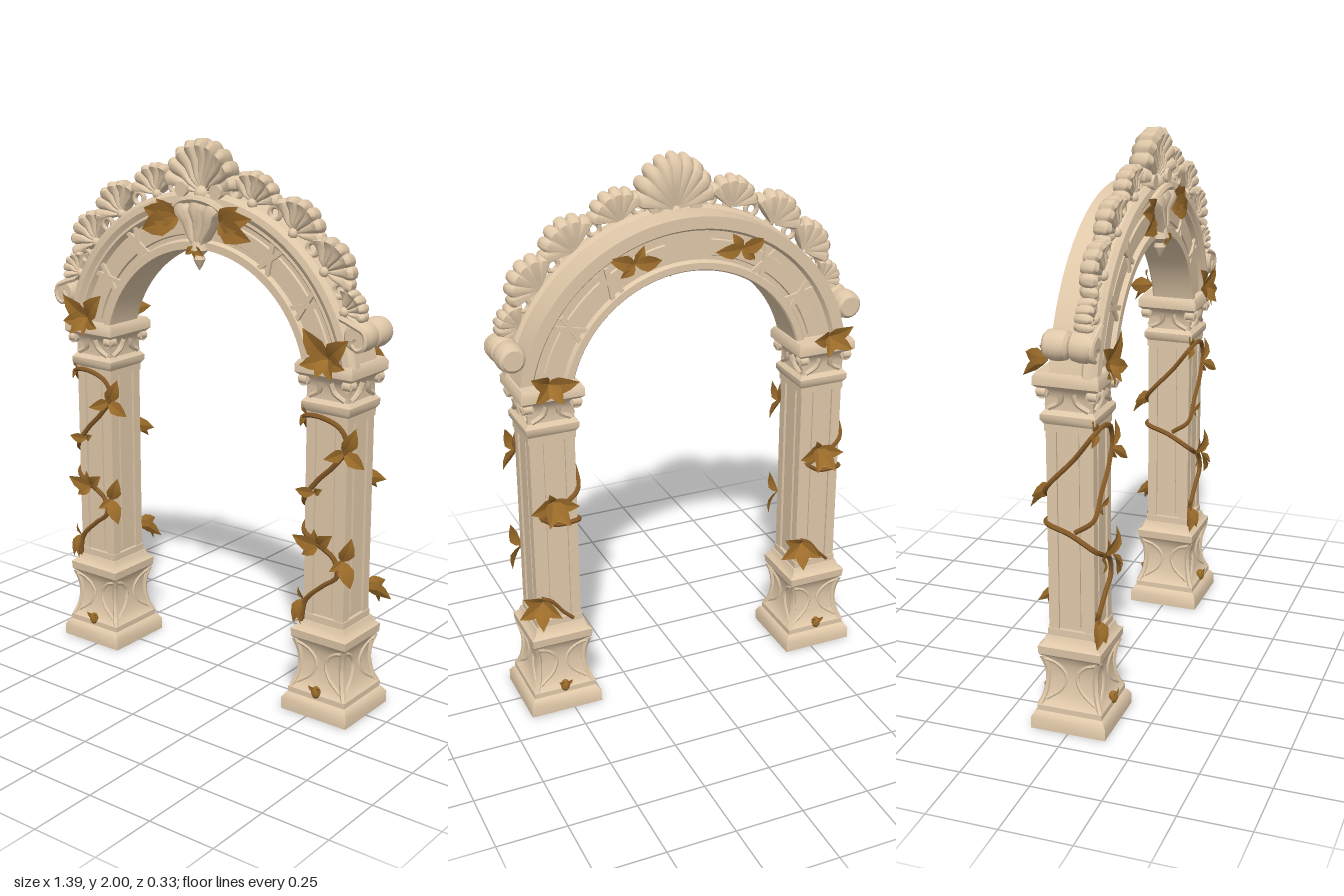
import * as THREE from 'three';
import { toCreasedNormals } from 'three/addons/utils/BufferGeometryUtils.js';

const mat = (name, color, side = THREE.FrontSide) =>
  Object.assign(new THREE.MeshStandardMaterial({ color, side }), { name });
const stone = mat('warm stone', 0xe0c8a9);
const leafGold = mat('golden leaf', 0x9c6c2a, THREE.DoubleSide);
const vineBrown = mat('brown vine', 0x845927);

const COL_X = 0.528, ARCH_Y = 1.17, DEG = Math.PI / 180;

function add(parent, name, geo, material = stone, pos = [0, 0, 0], crease = 0.6) {
  const mesh = new THREE.Mesh(crease ? toCreasedNormals(geo, crease) : geo, material);
  mesh.name = name;
  mesh.position.set(...pos);
  parent.add(mesh);
  return mesh;
}
const v2 = (pts) => pts.map(([a, b]) => new THREE.Vector2(a, b));
const tube = (pts, r, n = 30, sides = 6) => new THREE.TubeGeometry(
  new THREE.CatmullRomCurve3(pts.map((p) => new THREE.Vector3(...p))), n, r, sides);

// Square moulding from [half width, height] pairs
const squareTurned = (pts) =>
  new THREE.LatheGeometry(v2(pts.map(([h, y]) => [h * Math.SQRT2, y])), 4).rotateY(Math.PI / 4);

// Sweep of a [radius, z] outline round the arch, between angles measured from the top
const archSweep = (pts, from, to, n = 48) => new THREE.LatheGeometry(
  v2(pts), n, (180 + from) * DEG, (to - from) * DEG).rotateX(Math.PI / 2).translate(0, ARCH_Y, 0);

// Ribbed fan shell opening towards +y
function shellGeometry(R, spread, depth, ribs) {
  const profile = [[0.08, 0.5], [0.35, 0.75], [0.65, 0.7], [0.88, 0.95], [1, 0.75], [0.98, 0.1], [0.85, -0.25], [0.4, -0.2], [0.08, 0]];
  const n = ribs * 6, m = profile.length, pos = [], idx = [];
  for (let i = 0; i <= n; i++) {
    const v = i / n, th = (2 * v - 1) * spread, s = Math.sqrt(Math.abs(Math.sin(ribs * Math.PI * v)));
    const end = i === 0 || i === n ? 0 : 1;
    for (const [r, z] of profile) {
      const rho = r * R * (1 - 0.1 * (1 - s) * r);
      pos.push(rho * Math.sin(th), rho * Math.cos(th), z * depth * (0.72 + 0.28 * s) * end);
    }
  }
  for (let i = 0; i < n; i++) for (let j = 0; j < m - 1; j++) {
    const a = i * m + j, b = a + m;
    idx.push(a, b, b + 1, a, b + 1, a + 1);
  }
  const g = new THREE.BufferGeometry();
  g.setAttribute('position', new THREE.Float32BufferAttribute(pos, 3));
  g.setIndex(idx);
  g.computeVertexNormals();
  return g;
}

// Pointed leaf with a folded midrib, one unit long
function leafGeometry() {
  const rows = [[0, 0.04, 0], [0.18, 0.2, 0.04], [0.42, 0.29, 0.07], [0.7, 0.19, 0.05], [1, 0, -0.04]];
  const pos = [], idx = [];
  rows.forEach(([y, w, z], i) => {
    pos.push(-w, y, z + w * 0.22, 0, y, z, w, y, z + w * 0.22);
    if (i) for (const k of [0, 1]) {
      const a = (i - 1) * 3 + k;
      idx.push(a, a + 1, a + 4, a, a + 4, a + 3);
    }
  });
  const g = new THREE.BufferGeometry();
  g.setAttribute('position', new THREE.Float32BufferAttribute(pos, 3));
  g.setIndex(idx);
  g.computeVertexNormals();
  return g;
}
const leafGeo = leafGeometry();

// Leaves as [turn, length, outward tilt] round a point, facing the yaw direction
function leafCluster(parent, name, pos, yaw, leaves) {
  const group = new THREE.Group();
  group.name = name;
  for (const [turn, len, tilt = 18] of leaves) {
    const leaf = add(group, 'leaf', leafGeo, leafGold, pos, 0.3);
    leaf.rotation.set(tilt * DEG, yaw * DEG, turn * DEG, 'YZX');
    leaf.scale.setScalar(len);
  }
  parent.add(group);
}

function buildColumn(side) {
  const col = new THREE.Group();
  col.name = side > 0 ? 'leftColumn' : 'rightColumn';
  col.position.x = side * COL_X;
  add(col, 'pedestal', squareTurned([[0, 0], [0.137, 0], [0.137, 0.042], [0.126, 0.06], [0.119, 0.065], [0.119, 0.085],
    [0.105, 0.1], [0.094, 0.14], [0.088, 0.19], [0.091, 0.235], [0.102, 0.268], [0.113, 0.28], [0.115, 0.31], [0.1, 0.322], [0.092, 0.345], [0, 0.345]]));
  add(col, 'shaftCore', new THREE.BoxGeometry(0.148, 0.82, 0.148), stone, [0, 0.74, 0]);
  add(col, 'capital', squareTurned([[0, 1.11], [0.087, 1.11], [0.097, 1.125], [0.097, 1.145], [0.084, 1.16], [0.083, 1.2],
    [0.092, 1.225], [0.106, 1.24], [0.115, 1.248], [0.115, 1.275], [0.106, 1.29], [0, 1.295]]));

  // Four matching sides
  for (let k = 0; k < 4; k++) {
    const face = new THREE.Group();
    face.name = 'columnSide';
    face.rotation.y = k * Math.PI / 2;
    col.add(face);
    add(face, 'cornerPost', new THREE.BoxGeometry(0.036, 0.8, 0.036), stone, [0.065, 0.735, 0.065]);
    add(face, 'shaftPanel', new THREE.BoxGeometry(0.062, 0.7, 0.01), stone, [0, 0.735, 0.076]);
    for (const y of [0.355, 1.1]) add(face, 'shaftBand', new THREE.BoxGeometry(0.172, 0.03, 0.02), stone, [0, y, 0.077]);
    for (const m of [-1, 1]) {
      add(face, 'pedestalScroll', tube([[m * 0.1, 0.262, 0.1], [m * 0.055, 0.245, 0.092], [m * 0.02, 0.2, 0.086],
        [m * 0.035, 0.15, 0.09], [m * 0.09, 0.105, 0.1]], 0.008, 16));
      add(face, 'capitalVolute', new THREE.CylinderGeometry(0.022, 0.022, 0.03, 12).rotateX(Math.PI / 2), stone, [m * 0.087, 1.222, 0.088]);
      add(face, 'capitalLeaf', tube([[m * 0.07, 1.165, 0.083], [m * 0.03, 1.19, 0.088], [m * 0.02, 1.225, 0.098]], 0.01, 8));
    }
    add(face, 'pedestalCornerLeaf', tube([[0.11, 0.085, 0.11], [0.096, 0.12, 0.096], [0.087, 0.18, 0.087], [0.092, 0.235, 0.092], [0.104, 0.275, 0.104]], 0.011, 14));
  }
  // Small buds at the pedestal foot, front and back
  for (const f of [1, -1]) {
    add(col, 'pedestalBud', new THREE.SphereGeometry(0.017, 10, 8), leafGold, [0, 0.095, f * 0.118]).scale.y = 1.35;
    leafCluster(col, 'pedestalBudLeaves', [0, 0.1, f * 0.12], f > 0 ? 0 : 180, [[55, 0.035], [-55, 0.035]]);
  }

  // Climbing vines
  const v = 0.091;
  add(col, 'lowerVine', tube([[-0.085, 0.34, v], [-0.07, 0.42, v], [0, 0.49, v], [0.058, 0.54, v], [0.045, 0.6, v], [-0.03, 0.645, v],
    [-0.086, 0.68, 0.085], [-v, 0.73, 0], [-0.086, 0.76, -0.086], [0, 0.76, -v], [0.05, 0.79, -v]], 0.009, 80), vineBrown);
  add(col, 'upperVine', tube([[-v, 0.74, 0.02], [-0.088, 0.79, 0.085], [-0.03, 0.87, v], [0.04, 0.94, v], [0.084, 1.01, 0.086], [0.06, 1.07, v],
    [-0.02, 1.1, 0.096], [-0.088, 1.09, 0.088], [-v, 1.0, 0.02], [-0.086, 0.88, -0.086], [0, 0.82, -v], [0.06, 0.79, -v]], 0.009, 80), vineBrown);
  add(col, 'rearStem', tube([[-0.05, 0.36, -v], [-0.01, 0.4, -v], [0.03, 0.45, -v], [0.07, 0.47, -0.088]], 0.007, 16), vineBrown);

  // Leaves along the vines
  leafCluster(col, 'vineLeaves', [-0.02, 0.635, 0.093], 0, [[72, 0.1], [-50, 0.1], [5, 0.07], [125, 0.07]]);
  leafCluster(col, 'vineLeaves', [0.078, 0.6, 0.09], 45, [[-165, 0.1], [-15, 0.1], [120, 0.06]]);
  leafCluster(col, 'vineLeaves', [0.075, 0.99, 0.09], 45, [[-20, 0.1], [-130, 0.09], [100, 0.08]]);
  leafCluster(col, 'vineLeaves', [-0.04, 0.825, 0.093], 0, [[85, 0.07], [-60, 0.05]]);
  leafCluster(col, 'vineLeaves', [-0.08, 0.42, 0.088], -25, [[165, 0.1], [195, 0.09], [20, 0.05]]);
  leafCluster(col, 'vineLeaves', [-0.075, 1.1, 0.09], -35, [[150, 0.06], [30, 0.05]]);
  leafCluster(col, 'rearLeaves', [0.06, 0.45, -0.083], 155, [[115, 0.11, 40], [185, 0.11, 45], [60, 0.09, 35], [245, 0.1, 35]]);
  leafCluster(col, 'rearLeaves', [0.01, 0.85, -0.088], 175, [[95, 0.11, 35], [150, 0.11, 55], [215, 0.11, 45], [265, 0.1, 30], [20, 0.06, 35]]);
  for (const f of [1, -1]) { // leaves over the capital, front and back
    const up = side * f;
    leafCluster(col, 'capitalLeaves', [side * 0.01, 1.305, f * 0.1], f > 0 ? 0 : 180, f > 0
      ? [[up * 42, 0.135, 12], [up * -50, 0.13, 15], [up * -100, 0.1, 25], [up * 160, 0.08, 40], [up * 105, 0.1, 30], [up * -140, 0.09, 35]]
      : [[up * 80, 0.11, 35], [up * -60, 0.1, 30], [up * 150, 0.09, 45], [up * -120, 0.1, 40]]);
  }
  return col;
}

function buildArch() {
  const arch = new THREE.Group();
  arch.name = 'arch';
  add(arch, 'archRing', archSweep([[0.638, -0.062], [0.638, 0.05], [0.65, 0.06], [0.65, 0.088], [0.635, 0.104], [0.612, 0.108], [0.595, 0.098], [0.585, 0.1],
    [0.572, 0.084], [0.482, 0.084], [0.474, 0.1], [0.447, 0.1], [0.445, 0.09], [0.445, -0.055], [0.45, -0.062], [0.474, -0.062], [0.482, -0.046],
    [0.585, -0.046], [0.595, -0.062], [0.638, -0.062]], -80, 80, 72));

  // Raised panels and slanted ribs on both faces
  for (const m of [-1, 1]) {
    for (const [a, b] of [[9, 31], [36, 53], [58, 74]]) {
      const [p, q] = m > 0 ? [a, b] : [-b, -a];
      add(arch, 'frontPanel', archSweep([[0.56, 0.08], [0.554, 0.091], [0.5, 0.091], [0.494, 0.08]], p, q, 12));
      add(arch, 'backPanel', archSweep([[0.494, -0.04], [0.5, -0.053], [0.554, -0.053], [0.56, -0.04]], p, q, 12));
    }
    for (const deg of [33.5, 55.5]) for (const lean of [-1, 1]) for (const z of [0.088, -0.05]) {
      const t = m * deg * DEG;
      const rib = add(arch, 'archRib', new THREE.BoxGeometry(0.016, 0.115, 0.016), stone,
        [0.528 * Math.sin(t), ARCH_Y + 0.528 * Math.cos(t), z]);
      rib.rotation.z = -t + lean * 0.38;
    }
    leafCluster(arch, 'keystoneLeaves', [m * 0.09, 1.72, 0.108], 0, [[-m * 80, 0.15, 8], [-m * 108, 0.16, 10], [-m * 55, 0.11, 10], [-m * 130, 0.08]]);
    leafCluster(arch, 'backLeaves', [m * 0.2, 1.67, -0.058], 180, [[m * 75, 0.1, 2], [m * -90, 0.1, 2], [m * 130, 0.07, 2], [m * -30, 0.07, 2]]);

    // Paired scrolls closing the arch ends
    for (const z of [-0.021, 0.068]) {
      add(arch, 'endScroll', new THREE.LatheGeometry(v2([[0, -0.044], [0.036, -0.044], [0.047, -0.034], [0.052, -0.012], [0.052, 0.012], [0.047, 0.034],
        [0.036, 0.044], [0, 0.044]]), 20).rotateX(Math.PI / 2), stone, [m * 0.645, 1.392, z]);
    }
    add(arch, 'scrollSpiral', tube([[m * 0.585, 1.45, 0.104], [m * 0.635, 1.433, 0.107], [m * 0.68, 1.41, 0.107], [m * 0.682, 1.37, 0.107],
      [m * 0.655, 1.352, 0.107], [m * 0.632, 1.375, 0.107], [m * 0.648, 1.395, 0.109]], 0.01, 30));
  }
  return arch;
}

function buildCrest() {
  const crest = new THREE.Group();
  crest.name = 'crest';
  // Row of shells with open curls between them
  for (const m of [-1, 1]) {
    for (const [deg, R] of [[18.5, 0.115], [35, 0.125], [50, 0.122], [63, 0.085]]) {
      const t = m * deg * DEG, at = (r, z) => [r * Math.sin(t), ARCH_Y + r * Math.cos(t), z];
      const shell = add(crest, 'sideShell', shellGeometry(R, 1.25, 0.055, 6), stone, at(0.652, 0.05), 0.9);
      shell.rotation.z = -t;
      add(crest, 'shellKnob', new THREE.SphereGeometry(0.018, 12, 8), stone, at(0.655, 0.08), 0);
    }
    for (const deg of [11.5, 26.5, 42.5, 57, 69]) {
      const t = m * deg * DEG;
      add(crest, 'openCurl', new THREE.TorusGeometry(0.022, 0.009, 8, 16), stone,
        [0.668 * Math.sin(t), ARCH_Y + 0.668 * Math.cos(t), 0.072], 0);
    }
    // Rolls under the centre shell
    add(crest, 'centreRoll', new THREE.CylinderGeometry(0.026, 0.026, 0.07, 14).rotateX(Math.PI / 2), stone, [m * 0.075, 1.822, 0.08]);
  }
  const big = add(crest, 'centreShell', shellGeometry(0.195, 1.45, 0.075, 9), stone, [0, 1.805, 0.05], 0.9);
  big.scale.x = 0.83;
  add(crest, 'centreKnob', new THREE.SphereGeometry(0.028, 14, 10), stone, [0, 1.81, 0.09], 0);

  // Keystone shell with its pendant
  add(crest, 'keystoneShell', shellGeometry(0.19, 0.6, 0.062, 3), stone, [0, 1.6, 0.085], 0.9);
  add(crest, 'keystoneBand', tube([[-0.11, 1.755, 0.11], [-0.06, 1.785, 0.122], [0, 1.795, 0.126], [0.06, 1.785, 0.122], [0.11, 1.755, 0.11]], 0.014, 20));
  leafCluster(crest, 'pendantLeaves', [0, 1.63, 0.13], 0, [[125, 0.05, 5], [-125, 0.05, 5], [180, 0.04, 5]]);
  add(crest, 'pendant', new THREE.LatheGeometry(v2([[0, 1.545], [0.01, 1.56], [0.022, 1.585], [0.016, 1.6], [0.034, 1.618], [0.026, 1.645], [0, 1.65]]), 12), stone, [0, 0, 0.105]);
  return crest;
}

export function createModel() {
  const model = new THREE.Group();
  model.name = 'gardenArch';
  model.add(buildColumn(1), buildColumn(-1), buildArch(), buildCrest());
  return model;
}
